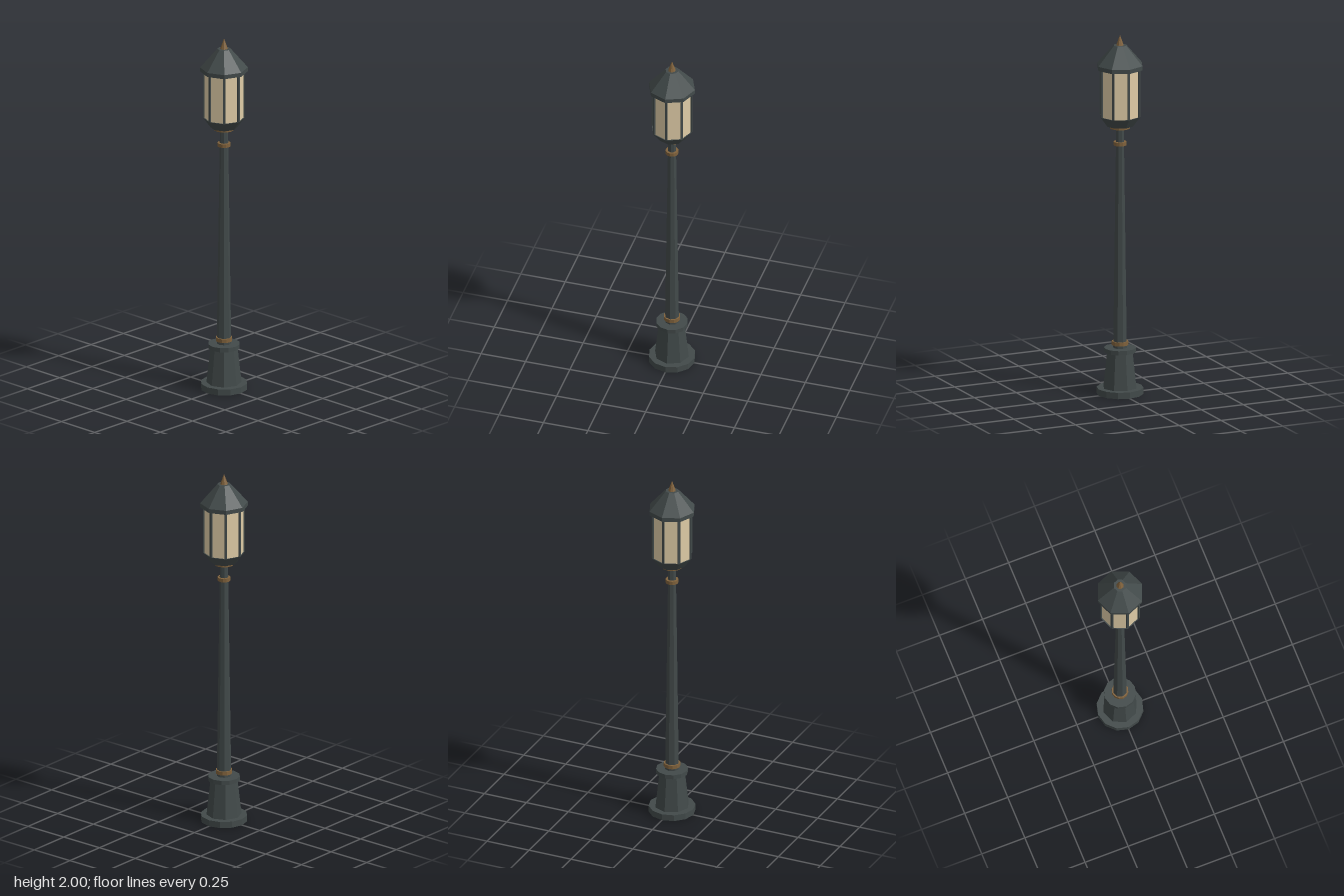
import * as THREE from 'three';

const mat = (name, color) => {
  const m = new THREE.MeshStandardMaterial({ color, flatShading: true });
  m.name = name;
  return m;
};

export function createModel() {
  const iron = mat('dark iron', 0x424a4a);
  const brass = mat('aged brass', 0x80623c);
  const glass = mat('warm glass', 0xdfcca6);

  const lamp = new THREE.Group();
  lamp.name = 'streetLamp';

  // Faceted drum between two heights
  const drum = (name, material, y0, y1, r0, r1, sides = 8) => {
    const geo = new THREE.CylinderGeometry(r1, r0, y1 - y0, sides);
    const mesh = new THREE.Mesh(geo, material);
    mesh.name = name;
    mesh.position.y = (y0 + y1) / 2;
    lamp.add(mesh);
  };

  // Pedestal
  drum('plinth', iron, 0, 0.035, 0.127, 0.127, 12);
  drum('pedestal', iron, 0.035, 0.233, 0.095, 0.073);
  drum('pedestalCap', iron, 0.233, 0.257, 0.087, 0.087, 12);

  // Tapered post with brass collars
  drum('post', iron, 0.257, 1.485, 0.039, 0.022);
  drum('lowerCollar', brass, 0.272, 0.293, 0.045, 0.045, 12);
  drum('upperCollar', brass, 1.385, 1.405, 0.035, 0.035, 12);
  drum('lanternCollar', brass, 1.48, 1.495, 0.055, 0.055, 12);

  // Lantern
  drum('lanternCup', iron, 1.494, 1.549, 0.074, 0.114);
  drum('lanternGlass', glass, 1.549, 1.812, 0.108, 0.108);
  for (let i = 0; i < 8; i++) {
    const a = (i * Math.PI) / 4;
    const bar = new THREE.Mesh(new THREE.BoxGeometry(0.012, 0.263, 0.012), iron);
    bar.name = 'lanternBar';
    bar.position.set(Math.sin(a) * 0.108, 1.6805, Math.cos(a) * 0.108);
    bar.rotation.y = a;
    lamp.add(bar);
  }

  // Roof and finial
  drum('eaves', iron, 1.812, 1.835, 0.129, 0.129);
  drum('roof', iron, 1.835, 1.942, 0.129, 0.036);
  drum('finial', brass, 1.942, 2, 0.021, 0);

  return lamp;
}
